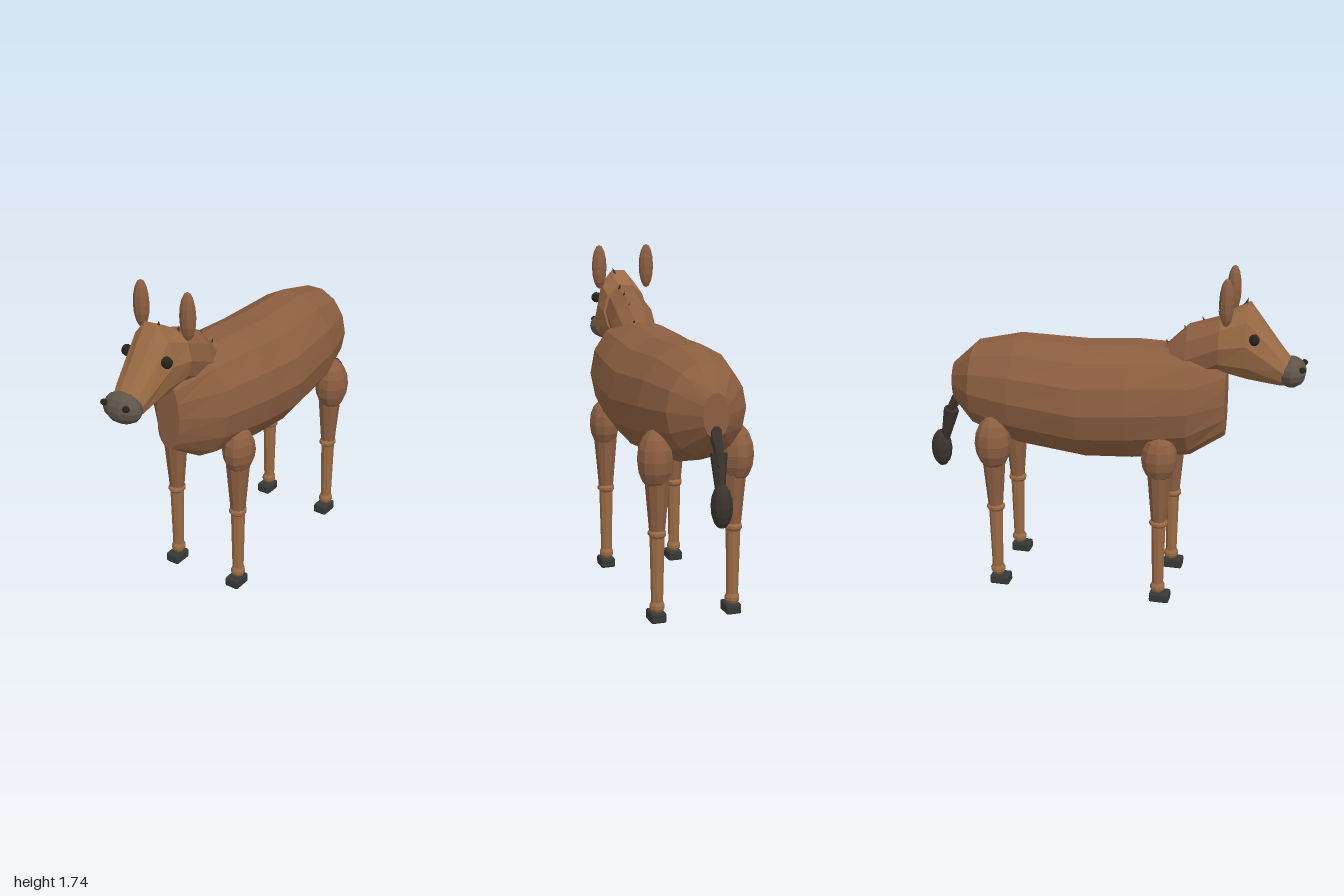
import * as THREE from 'three';
import { RoundedBoxGeometry } from 'three/addons/geometries/RoundedBoxGeometry.js';

const paint = (color) => new THREE.MeshStandardMaterial({ color, flatShading: true });
const coat = paint(0x8b5e40);
const tan = paint(0x9a6b45);
const muzzleGrey = paint(0x5f5449);
const dark = paint(0x3a332d);
const black = paint(0x26231f);
const hoofGrey = paint(0x363836);

// Closed skin over elliptical rings [z, bottom, top, halfWidth], listed back to front
function loft(rings, sides) {
  const pos = [], index = [];
  for (const [z, bottom, top, w] of rings) {
    const cy = (bottom + top) / 2;
    const ry = (top - bottom) / 2 / Math.cos(Math.PI / sides);
    for (let j = 0; j < sides; j++) {
      const a = (j / sides) * Math.PI * 2;
      pos.push(Math.cos(a) * w, cy + Math.sin(a) * ry, z);
    }
  }
  for (let i = 0; i < rings.length - 1; i++) {
    for (let j = 0; j < sides; j++) {
      const k = (j + 1) % sides;
      const a = i * sides + j, b = i * sides + k;
      index.push(a, b, a + sides, b, b + sides, a + sides);
    }
  }
  const last = (rings.length - 1) * sides;
  for (let j = 1; j < sides - 1; j++) {
    index.push(0, j + 1, j, last, last + j, last + j + 1);
  }
  const geo = new THREE.BufferGeometry();
  geo.setAttribute('position', new THREE.Float32BufferAttribute(pos, 3));
  geo.setIndex(index);
  geo.computeVertexNormals();
  return geo;
}

function add(parent, name, geo, mat, x = 0, y = 0, z = 0) {
  const mesh = new THREE.Mesh(geo, mat);
  mesh.name = name;
  mesh.position.set(x, y, z);
  parent.add(mesh);
  return mesh;
}

const ellipsoid = (rx, ry, rz, w = 9, h = 7) => new THREE.SphereGeometry(1, w, h).scale(rx, ry, rz);

// Tapered rod between two points
function rod(parent, name, from, to, r0, r1, mat, sides = 7) {
  const a = new THREE.Vector3(...from), b = new THREE.Vector3(...to);
  const dir = b.clone().sub(a);
  const mesh = add(parent, name, new THREE.CylinderGeometry(r1, r0, dir.length(), sides), mat);
  mesh.position.copy(a).add(b).multiplyScalar(0.5);
  mesh.quaternion.setFromUnitVectors(new THREE.Vector3(0, 1, 0), dir.normalize());
  return mesh;
}

function leg(name, x, z, joint, hoofZ) {
  const g = new THREE.Group();
  g.name = name;
  const s = Math.sign(x);
  add(g, 'joint', ellipsoid(joint.rx, joint.ry, joint.rz, 10, 8), coat, s * joint.x, joint.y, z);
  rod(g, 'upperLeg', [x, 0.8, z], [x, 0.45, z], 0.068, 0.038, coat, 9);
  add(g, 'knee', ellipsoid(0.046, 0.03, 0.05), tan, x, 0.45, z);
  rod(g, 'lowerLeg', [x, 0.45, z], [x, 0.07, z], 0.037, 0.029, tan, 9);
  add(g, 'ankle', ellipsoid(0.038, 0.037, 0.04), tan, x, 0.08, z);
  add(g, 'hoof', new RoundedBoxGeometry(0.078, 0.052, 0.104, 1, 0.01), hoofGrey, x, 0.026, hoofZ);
  return g;
}

export function createModel() {
  const model = new THREE.Group();
  model.name = 'hoofedAnimal';

  // Barrel body with flat chest and rump ends
  add(model, 'body', loft([
    [-0.84, 0.96, 1.17, 0.065],
    [-0.71, 0.845, 1.29, 0.2],
    [-0.48, 0.77, 1.34, 0.262],
    [-0.12, 0.73, 1.33, 0.295],
    [0.13, 0.745, 1.35, 0.285],
    [0.43, 0.785, 1.345, 0.24],
    [0.6, 0.89, 1.245, 0.067],
  ], 14), coat);

  // Neck and head
  add(model, 'neck', loft([
    [0.26, 1.08, 1.32, 0.1],
    [0.4, 1.16, 1.455, 0.122],
    [0.58, 1.25, 1.515, 0.11],
  ], 10), coat);
  add(model, 'head', loft([
    [0.565, 1.24, 1.52, 0.125],
    [0.7, 1.21, 1.59, 0.12],
    [0.87, 1.185, 1.37, 0.092],
    [0.93, 1.19, 1.3, 0.07],
  ], 10), tan);
  add(model, 'muzzle', ellipsoid(0.104, 0.076, 0.073, 10, 8), muzzleGrey, 0, 1.253, 0.92);

  for (const s of [1, -1]) {
    const side = s > 0 ? 'left' : 'right';
    add(model, side + 'Ear', ellipsoid(0.041, 0.12, 0.037, 9, 8), coat, s * 0.135, 1.62, 0.603);
    add(model, side + 'Eye', ellipsoid(0.029, 0.029, 0.026, 8, 6), black, s * 0.116, 1.438, 0.74);
    add(model, side + 'Nostril', ellipsoid(0.019, 0.015, 0.017, 8, 6), black, s * 0.064, 1.285, 0.975);

    // Front and rear legs
    model.add(leg(side + 'FrontLeg', s * 0.196, 0.3,
      { x: 0.203, y: 0.81, rx: 0.08, ry: 0.127, rz: 0.093 }, 0.312));
    model.add(leg(side + 'RearLeg', s * 0.196, -0.575,
      { x: 0.207, y: 0.815, rx: 0.088, ry: 0.147, rz: 0.095 }, -0.56));
  }

  // Mane tufts and forelock
  for (const [y, z] of [[1.345, 0.29], [1.425, 0.38], [1.475, 0.47], [1.51, 0.55]]) {
    const tuft = add(model, 'maneTuft', new THREE.ConeGeometry(0.012, 0.05, 5), dark, 0.035, y, z);
    tuft.rotation.x = -0.4;
  }
  const forelock = add(model, 'forelock', new THREE.ConeGeometry(0.025, 0.09, 4), dark, 0.022, 1.565, 0.675);
  forelock.rotation.set(0.3, 0, -0.3);

  // Tail
  rod(model, 'tailRoot', [0, 1.0, -0.815], [0, 0.87, -0.895], 0.035, 0.018, dark);
  rod(model, 'tailMiddle', [0, 0.9, -0.872], [0.01, 0.7, -0.925], 0.042, 0.02, dark);
  add(model, 'tailTuft', ellipsoid(0.052, 0.105, 0.056, 10, 8), dark, 0.01, 0.667, -0.942);

  return model;
}
